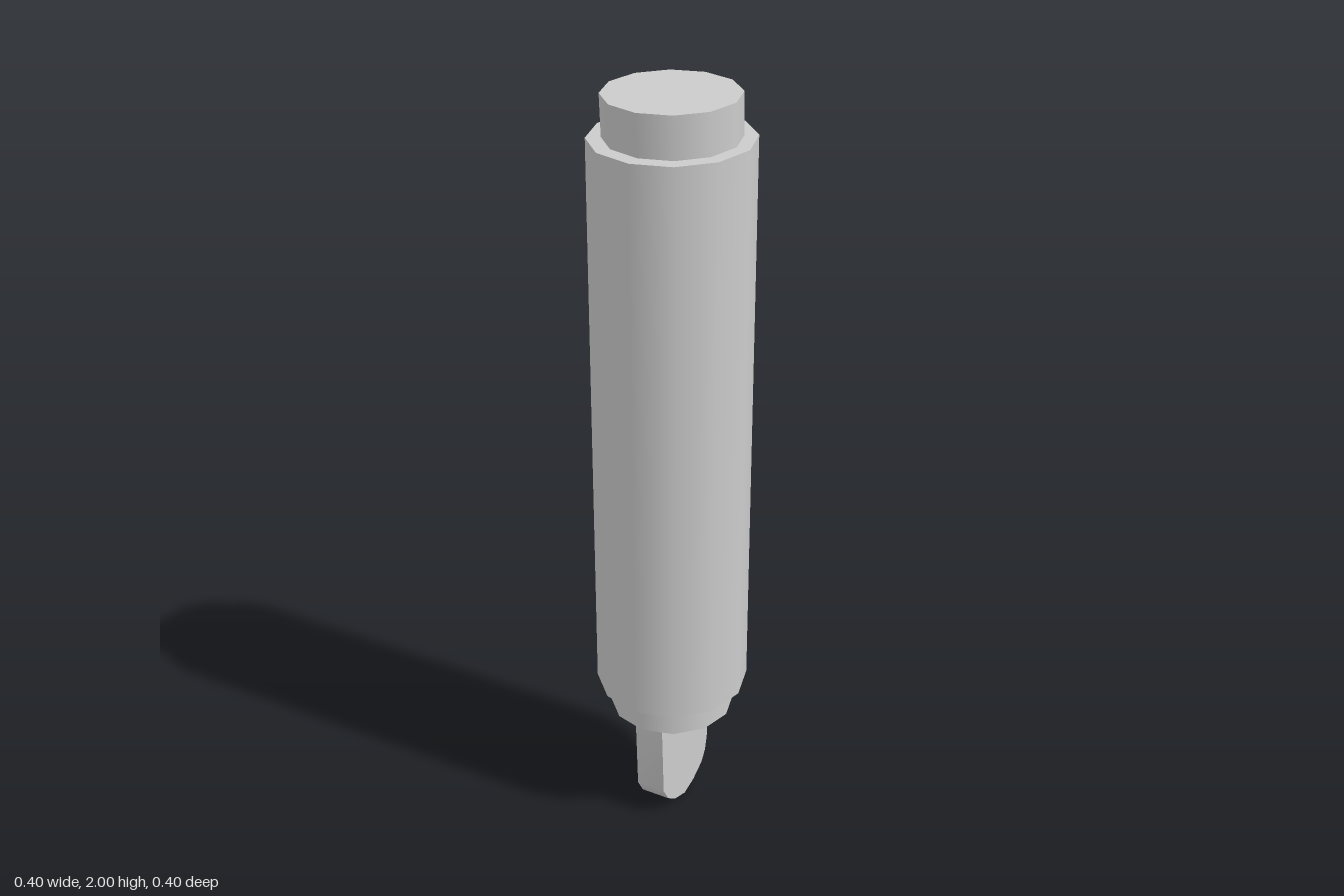
import * as THREE from 'three';
import { toCreasedNormals } from 'three/addons/utils/BufferGeometryUtils.js';

const material = new THREE.MeshStandardMaterial({ color: 0xcccccc });

// Twelve-sided drum whose ends slope up slightly to the back;
// lean shifts its upper end forward relative to its lower end.
function drum(name, radius, bottom, top, slope, lean = 0) {
  const height = top - bottom;
  const geometry = new THREE.CylinderGeometry(radius, radius, height, 12);
  geometry.applyMatrix4(new THREE.Matrix4().set(
    1, 0, 0, 0,
    0, 1, -slope, (top + bottom) / 2,
    0, lean, 1, 0,
    0, 0, 0, 1
  ));
  const mesh = new THREE.Mesh(geometry, material);
  mesh.name = name;
  return mesh;
}

export function createModel() {
  const group = new THREE.Group();
  group.name = 'handledTool';

  // Main grip with a narrower drum at each end
  group.add(drum('grip', 0.2, 0.396, 1.892, 0.02));
  group.add(drum('lowerCollar', 0.165, 0.316, 0.42, 0.018));
  const cap = drum('endCap', 0.165, 1.87, 1.997, 0.016, 0.055);
  cap.position.z = -0.001;
  group.add(cap);

  // Flat blade with a rounded tip, outlined as (z, y)
  const outline = [
    [0.13, 0.34], [0.12, 0.09], [0.095, 0.048], [0.055, 0.018], [0, 0],
    [-0.05, 0.012], [-0.1, 0.04], [-0.12, 0.07], [-0.13, 0.11], [-0.13, 0.34]
  ].map(([z, y]) => new THREE.Vector2(z, y));
  const bladeGeometry = new THREE.ExtrudeGeometry(new THREE.Shape(outline), {
    depth: 0.08, bevelEnabled: false
  });
  bladeGeometry.translate(0, 0, -0.04).rotateY(-Math.PI / 2);
  const blade = new THREE.Mesh(toCreasedNormals(bladeGeometry, 0.8), material);
  blade.name = 'blade';
  group.add(blade);

  return group;
}
